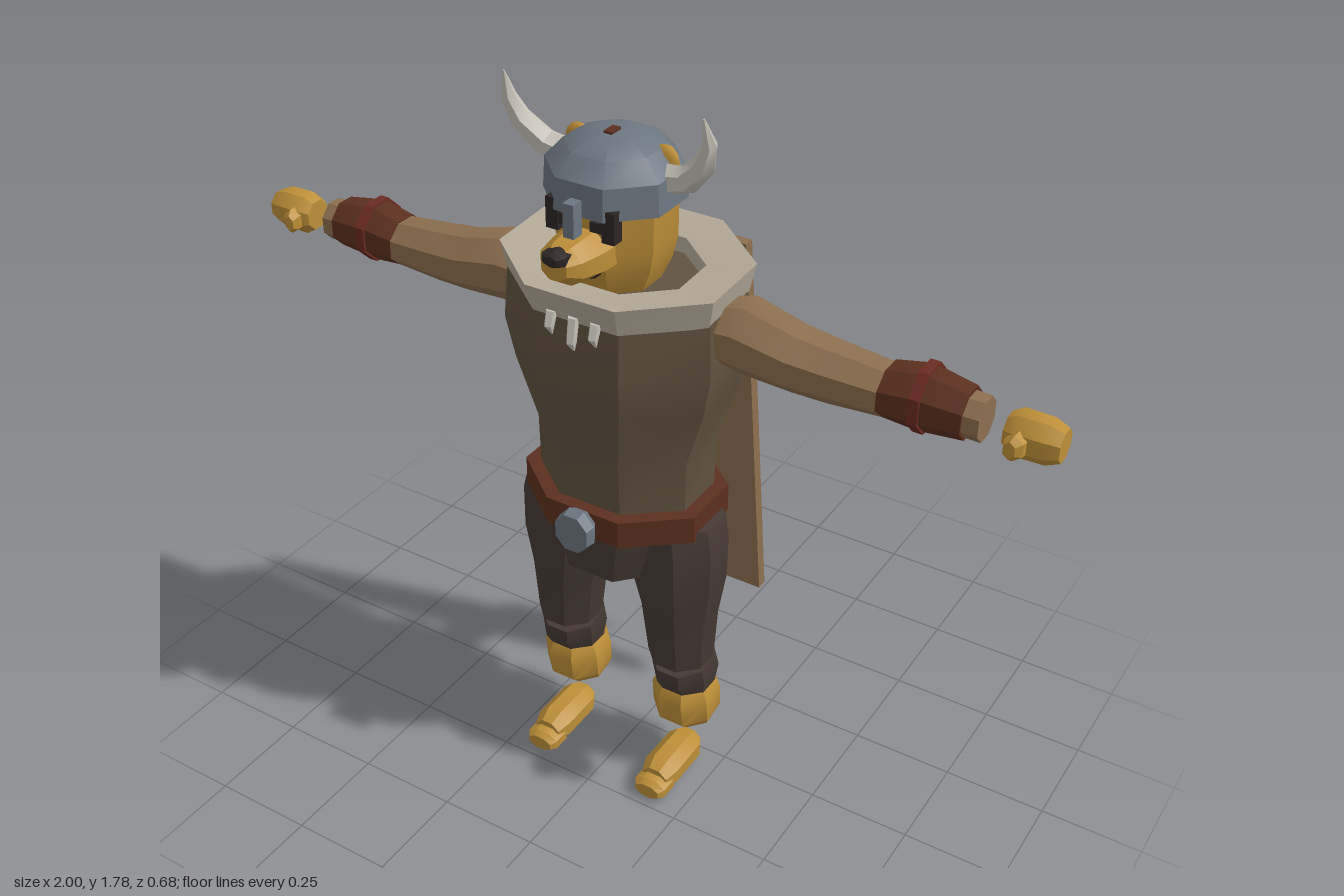
import * as THREE from 'three';
import { toCreasedNormals } from 'three/addons/utils/BufferGeometryUtils.js';

const V = (x, y, z) => new THREE.Vector3(x, y, z);

// Skin a list of equal-length rings, with flat end caps unless open.
function skin(rings, open = false) {
  const pos = [];
  const tri = (...p) => p.forEach(v => pos.push(v.x, v.y, v.z));
  const n = rings[0].length;
  const middle = r => r.reduce((s, p) => s.add(p), V(0, 0, 0)).divideScalar(n);
  for (let j = 0; j < n; j++) {
    const k = (j + 1) % n;
    for (let i = 0; i < rings.length - 1; i++) {
      const a = rings[i], b = rings[i + 1];
      tri(a[j], b[j], a[k]);
      tri(a[k], b[j], b[k]);
    }
    if (!open) {
      const s = rings[0], e = rings[rings.length - 1];
      tri(middle(s), s[j], s[k]);
      tri(middle(e), e[k], e[j]);
    }
  }
  const g = new THREE.BufferGeometry();
  g.setAttribute('position', new THREE.Float32BufferAttribute(pos, 3));
  return toCreasedNormals(g, 0.6);
}

// Faceted loft along an axis; rows are [position, centreA, centreB, radiusA, radiusB, slope].
// Across y the centres are x and z, across z they are x and y, across x they are y and z.
const place = {
  y: (t, a, b, da, db, k) => V(a + da, t + k * db, b + db),
  z: (t, a, b, da, db) => V(a + da, b - db, t),
  x: (t, a, b, da, db) => V(t, a - da, b + db),
  '-x': (t, a, b, da, db) => V(-t, a + da, b + db),
};
function loft(axis, rows, n = 8, open = false) {
  const grow = 1 / Math.cos(Math.PI / n);
  return skin(rows.map(([t, a, b, ra, rb, k = 0]) => Array.from({ length: n }, (_, j) => {
    const q = (j + 0.5) / n * Math.PI * 2;
    return place[axis](t, a, b, ra * grow * Math.cos(q), rb * grow * Math.sin(q), k);
  })), open);
}

// Tapered sweep through points, one radius for each.
function sweep(points, radii, n, ref) {
  return skin(points.map((p, i) => {
    const t = points[Math.min(i + 1, points.length - 1)].clone()
      .sub(points[Math.max(i - 1, 0)]).normalize();
    const u = t.clone().cross(ref).normalize(), v = u.clone().cross(t);
    return Array.from({ length: n }, (_, j) => {
      const q = j / n * Math.PI * 2;
      return p.clone().addScaledVector(u, radii[i] * Math.cos(q)).addScaledVector(v, radii[i] * Math.sin(q));
    });
  }));
}

export function createModel() {
  const root = new THREE.Group();
  const mat = {};
  Object.entries({
    goldFur: 0xbd8f38, vestBrown: 0x625340, sleeveTan: 0x8c6f50, trouserBrown: 0x463a34,
    leather: 0x5c3020, redCord: 0x6b2b22, collarCream: 0xb3a998, steel: 0x6c7680,
    horn: 0xc8c4ba, nearBlack: 0x2c2624,
  }).forEach(([name, color]) => {
    mat[name] = new THREE.MeshStandardMaterial({ color });
    mat[name].name = name;
  });
  const add = (name, geo, m) => {
    const mesh = new THREE.Mesh(geo, mat[m]);
    mesh.name = name;
    root.add(mesh);
    return mesh;
  };
  const box = (name, m, w, h, d, x, y, z) =>
    add(name, new THREE.BoxGeometry(w, h, d), m).position.set(x, y, z);

  // Body
  add('hips', loft('y', [[0.63, 0, 0.06, 0.145, 0.16], [0.77, 0, 0.06, 0.19, 0.165]]), 'trouserBrown');
  add('torso', loft('y', [
    [0.8, 0, 0.063, 0.195, 0.155], [0.95, 0, 0.062, 0.197, 0.163], [1.1, 0, 0.065, 0.245, 0.186],
    [1.2, 0, 0.067, 0.265, 0.198], [1.35, 0, 0.06, 0.255, 0.195],
  ]), 'vestBrown');
  add('belt', loft('y', [[0.76, 0, 0.065, 0.228, 0.185], [0.828, 0, 0.065, 0.228, 0.185]]), 'leather');
  add('buckle', loft('z', [
    [0.25, 0, 0.79, 0.035, 0.04], [0.27, 0, 0.79, 0.046, 0.052], [0.295, 0, 0.79, 0.042, 0.046],
  ]), 'steel');

  // Collar and tooth pendants
  add('collar', loft('y', [
    [1.325, 0, 0.06, 0.255, 0.2, -0.05], [1.393, 0, 0.06, 0.268, 0.22, -0.05],
    [1.378, 0, 0.06, 0.165, 0.135, -0.05], [1.34, 0, 0.06, 0.16, 0.13, -0.05],
  ], 8, true), 'collarCream');
  [[-0.055, 1.275], [0, 1.25], [0.055, 1.275]].forEach(([x, y]) =>
    add('toothPendant', sweep([V(x, 1.33, 0.265), V(x, y + 0.025, 0.275), V(x, y, 0.265)],
      [0.013, 0.012, 0.002], 5, V(0, 0, 1)), 'horn'));

  // Head, snout and face
  add('head', loft('y', [
    [1.36, 0, 0.1, 0.09, 0.09], [1.41, 0, 0.1, 0.112, 0.11], [1.46, 0, 0.1, 0.123, 0.12],
    [1.58, 0, 0.1, 0.125, 0.12],
  ]), 'goldFur');
  add('snout', loft('z', [
    [0.19, 0, 1.465, 0.068, 0.052], [0.24, 0, 1.465, 0.064, 0.05],
    [0.3, 0, 1.468, 0.052, 0.042], [0.328, 0, 1.47, 0.03, 0.026],
  ]), 'goldFur');
  add('nose', loft('z', [
    [0.305, 0, 1.492, 0.028, 0.016], [0.33, 0, 1.492, 0.028, 0.016], [0.342, 0, 1.492, 0.016, 0.01],
  ], 6), 'nearBlack');
  const mouth = new THREE.TorusGeometry(0.055, 0.006, 4, 8, Math.PI).rotateZ(Math.PI)
    .scale(1, 0.6, 1).translate(0, 1.45, 0.245);
  add('mouth', mouth, 'nearBlack');

  // Helmet, nose guard and hair
  add('helmet', loft('y', [
    [1.55, 0, 0.1, 0.142, 0.14], [1.62, 0, 0.1, 0.138, 0.135],
    [1.663, 0, 0.1, 0.1, 0.1], [1.687, 0, 0.1, 0.05, 0.05],
  ]), 'steel');
  box('noseGuard', 'steel', 0.026, 0.075, 0.03, 0, 1.553, 0.26);
  box('hairTip', 'leather', 0.02, 0.008, 0.035, 0, 1.688, 0.11);
  box('hairKnot', 'leather', 0.03, 0.075, 0.05, 0, 1.525, -0.035);

  for (const s of [1, -1]) {
    // Face and helmet sides
    box('eye', 'nearBlack', 0.035, 0.022, 0.02, s * 0.04, 1.53, 0.222);
    box('cheekGuard', 'nearBlack', 0.03, 0.07, 0.03, s * 0.068, 1.538, 0.22);
    add('ear', new THREE.SphereGeometry(0.035, 8, 6).scale(1, 1.1, 0.5)
      .translate(s * 0.105, 1.632, 0.075), 'goldFur');
    add('horn', sweep([
      V(s * 0.12, 1.605, 0.095), V(s * 0.175, 1.62, 0.1), V(s * 0.222, 1.67, 0.12),
      V(s * 0.24, 1.72, 0.133), V(s * 0.236, 1.78, 0.15),
    ], [0.034, 0.03, 0.025, 0.017, 0.002], 6, V(0, 0, 1)), 'horn');

    // Arm
    const ax = s > 0 ? 'x' : '-x';
    add('sleeve', loft(ax, [
      [0.22, 1.275, 0.055, 0.06, 0.07], [0.3, 1.278, 0.055, 0.078, 0.08], [0.42, 1.255, 0.05, 0.066, 0.074],
      [0.5, 1.25, 0.05, 0.062, 0.068], [0.64, 1.245, 0.047, 0.052, 0.058],
    ]), 'sleeveTan');
    add('wrist', loft(ax, [
      [0.78, 1.25, 0.05, 0.046, 0.046], [0.835, 1.248, 0.05, 0.046, 0.044],
    ]), 'sleeveTan');
    add('cuff', loft(ax, [
      [0.62, 1.247, 0.045, 0.055, 0.062], [0.7, 1.253, 0.045, 0.066, 0.066], [0.8, 1.25, 0.048, 0.054, 0.053],
    ]), 'leather');
    add('cuffCord', loft(ax, [
      [0.692, 1.254, 0.045, 0.071, 0.071], [0.715, 1.254, 0.045, 0.071, 0.071],
    ]), 'redCord');
    add('paw', loft(ax, [
      [0.883, 1.248, 0.057, 0.034, 0.034], [0.905, 1.248, 0.058, 0.047, 0.045],
      [0.97, 1.248, 0.058, 0.046, 0.043], [1, 1.248, 0.058, 0.034, 0.033],
    ]), 'goldFur');
    add('thumb', loft('z', [
      [0.085, s * 0.92, 1.245, 0.02, 0.026], [0.115, s * 0.916, 1.245, 0.02, 0.026],
      [0.128, s * 0.912, 1.245, 0.012, 0.017],
    ], 6), 'goldFur');

    // Leg
    add('thigh', loft('y', [
      [0.365, s * 0.16, 0.075, 0.073, 0.074], [0.5, s * 0.156, 0.077, 0.085, 0.083],
      [0.61, s * 0.15, 0.078, 0.108, 0.094], [0.72, s * 0.148, 0.075, 0.11, 0.1],
      [0.78, s * 0.14, 0.07, 0.105, 0.1],
    ]), 'trouserBrown');
    add('shin', loft('y', [
      [0.268, s * 0.162, 0.052, 0.066, 0.066], [0.315, s * 0.162, 0.055, 0.073, 0.083, -0.15],
      [0.352, s * 0.16, 0.065, 0.07, 0.072, -0.22],
    ]), 'trouserBrown');
    add('furAnkle', loft('y', [
      [0.153, s * 0.16, 0.03, 0.065, 0.058, -0.22], [0.18, s * 0.16, 0.042, 0.077, 0.075, -0.15],
      [0.24, s * 0.16, 0.046, 0.077, 0.081], [0.266, s * 0.16, 0.048, 0.066, 0.068],
    ]), 'goldFur');
    add('foot', loft('z', [
      [0.022, s * 0.16, 0.044, 0.03, 0.026], [0.05, s * 0.16, 0.043, 0.044, 0.042],
      [0.16, s * 0.16, 0.043, 0.045, 0.042], [0.195, s * 0.16, 0.04, 0.034, 0.03],
    ]), 'goldFur');
    add('toes', loft('z', [
      [0.17, s * 0.16, 0.028, 0.042, 0.027], [0.215, s * 0.16, 0.028, 0.042, 0.027],
      [0.23, s * 0.16, 0.027, 0.032, 0.018],
    ]), 'goldFur');
  }

  // Cape, flaring and leaning back towards the hem
  add('cape', skin([[0.38, 0.21, -0.237], [1.355, 0.165, -0.183]].map(([y, w, z]) =>
    [[1, -1], [1, 1], [-1, 1], [-1, -1]].map(([i, k]) => V(i * w, y, z + k * 0.014)))), 'sleeveTan');

  // Tail
  add('tail', sweep([
    V(0, 0.755, -0.09), V(0, 0.695, -0.2), V(0, 0.645, -0.262), V(0, 0.315, -0.337),
  ], [0.045, 0.05, 0.054, 0.002], 6, V(1, 0, 0)), 'leather');

  return root;
}
